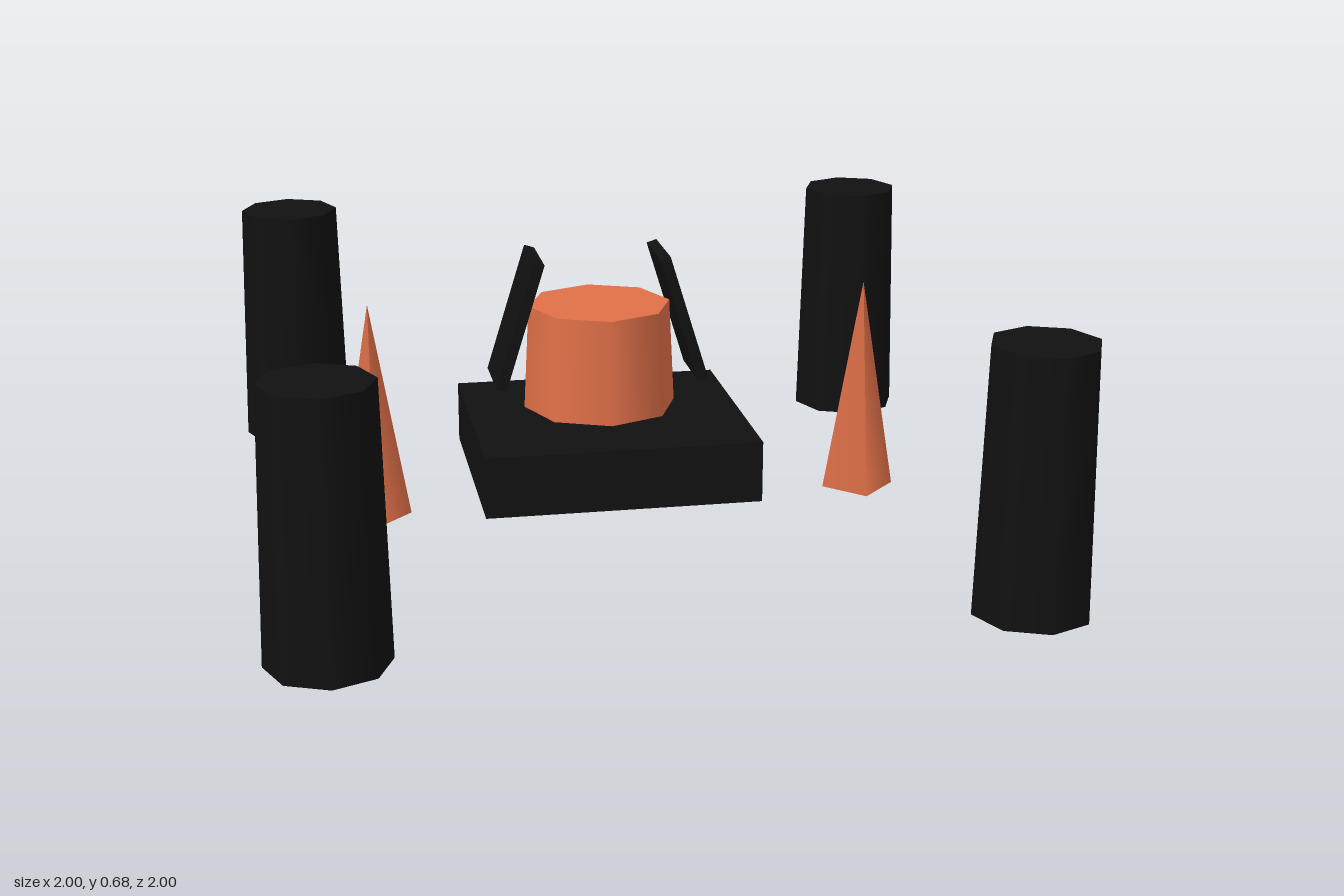
import * as THREE from 'three';

export function createModel() {
  const black = new THREE.MeshStandardMaterial({ color: 0x111111 });
  black.name = 'black';
  const orange = new THREE.MeshStandardMaterial({ color: 0xe07048 });
  orange.name = 'orange';

  const model = new THREE.Group();
  model.name = 'towerCourt';

  const add = (name, geometry, material, x, y, z) => {
    const mesh = new THREE.Mesh(geometry, material);
    mesh.name = name;
    mesh.position.set(x, y, z);
    model.add(mesh);
    return mesh;
  };

  // Central platform and the drum standing on it
  add('platform', new THREE.BoxGeometry(0.764, 0.172, 0.678), black, 0, 0.086, -0.339);
  add('drum', new THREE.CylinderGeometry(0.203, 0.218, 0.298, 8), orange, 0, 0.321, -0.424);

  const towerGeometry = new THREE.CylinderGeometry(0.136, 0.152, 0.68, 8);
  const spireGeometry = new THREE.ConeGeometry(0.1, 0.59, 4);
  const panelGeometry = new THREE.BoxGeometry(0.03, 0.38, 0.212);

  for (const side of [1, -1]) {
    const label = side > 0 ? 'left' : 'right';

    // Corner towers
    add(label + 'FrontTower', towerGeometry, black, side * 0.848, 0.34, 0.846);
    add(label + 'BackTower', towerGeometry, black, side * 0.848, 0.34, -0.848);

    // Four-sided spire beside the platform
    add(label + 'Spire', spireGeometry, orange, side * 0.676, 0.295, -0.085);

    // Panel leaning in towards the drum
    const panel = add(label + 'Panel', panelGeometry, black, side * 0.235, 0.426, -0.464);
    panel.rotation.z = side * 0.3;
  }

  return model;
}
